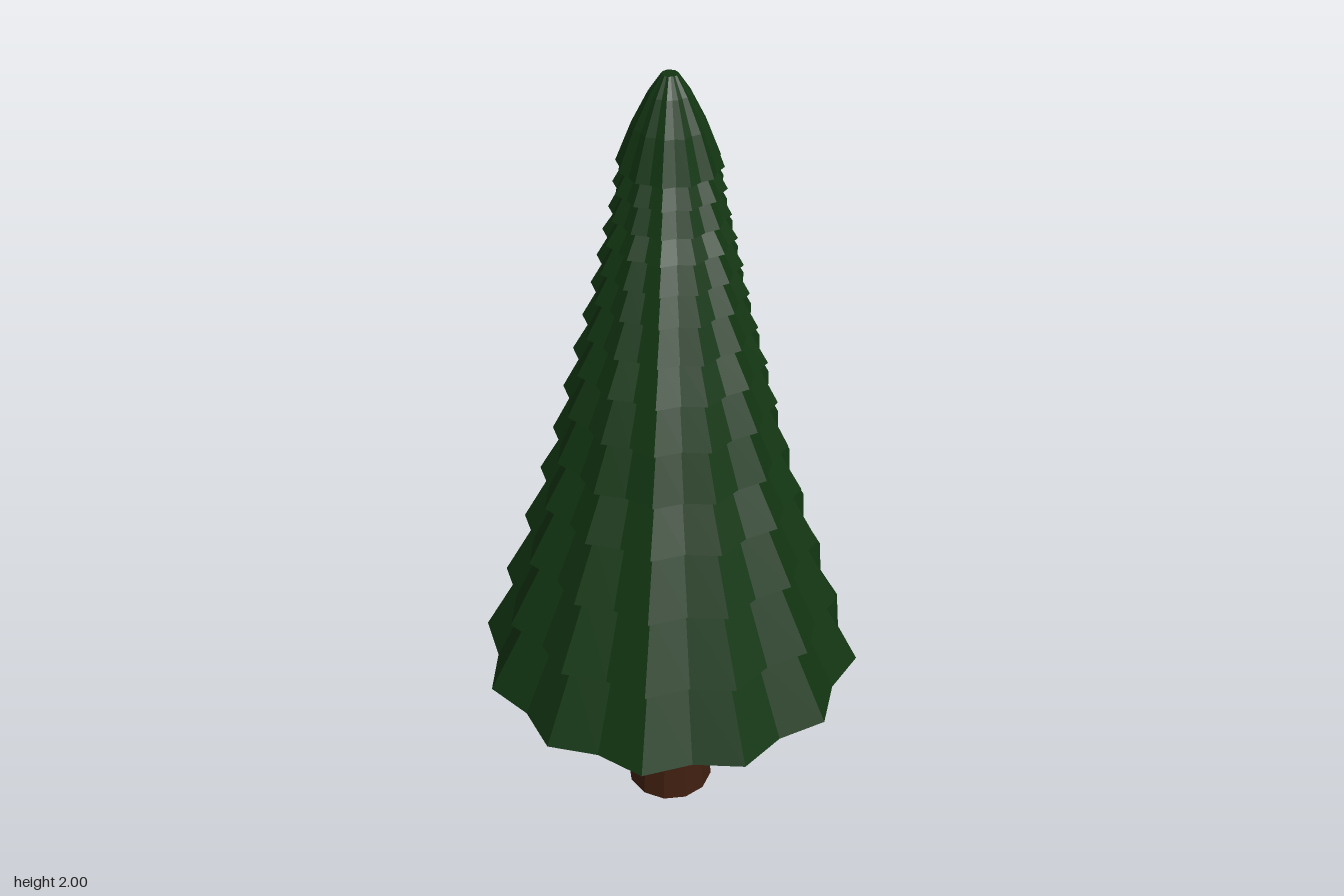
import * as THREE from 'three';

const leafMaterial = new THREE.MeshStandardMaterial({ color: 0x123512, flatShading: true });
const barkMaterial = new THREE.MeshStandardMaterial({ color: 0x3f1f10, flatShading: true });

const POINTS = 12;   // star points around each tier
const NOTCH = 0.92;  // radius of the notches between the points

// Closed star-shaped solid from a [radius, height] profile, bottom to top
function starTier(profile) {
  const first = profile[0], last = profile[profile.length - 1];
  const outline = [[0, first[1]], ...profile, [0, last[1]]];
  const geometry = new THREE.LatheGeometry(
    outline.map(([r, y]) => new THREE.Vector2(r, y)), POINTS * 2);
  const pos = geometry.attributes.position;
  for (let i = 0; i < pos.count; i++) {
    const column = Math.floor(i / outline.length);
    if (column % 2) {
      pos.setX(i, pos.getX(i) * NOTCH);
      pos.setZ(i, pos.getZ(i) * NOTCH);
    }
  }
  const flat = geometry.toNonIndexed();
  flat.computeVertexNormals();
  return flat;
}

export function createModel() {
  const tree = new THREE.Group();
  tree.name = 'coniferTree';

  // Tapered trunk, reaching slightly into the lowest tier
  const trunk = new THREE.Mesh(new THREE.CylinderGeometry(0.083, 0.11, 0.5, 12), barkMaterial);
  trunk.name = 'trunk';
  trunk.position.y = 0.25;
  tree.add(trunk);

  // Lower rim of every tier: [radius, height]
  const rims = [
    [0.47, 0.465], [0.41, 0.655], [0.355, 0.83], [0.31, 0.98], [0.275, 1.1],
    [0.246, 1.22], [0.22, 1.325], [0.196, 1.415], [0.175, 1.5], [0.16, 1.57],
    [0.146, 1.635], [0.132, 1.69], [0.122, 1.75], [0.115, 1.8],
  ];
  const foliage = new THREE.Group();
  foliage.name = 'foliage';
  rims.forEach((rim, i) => {
    const next = rims[i + 1];
    // Each tier narrows to tuck under the next; the crown rounds off to a small flat tip
    const upper = next
      ? [[next[0] - 0.02 - 0.07 * (next[0] - 0.1), next[1] + 0.002]]
      : [[0.08, 1.89], [0.045, 1.96], [0.018, 2]];
    const tier = new THREE.Mesh(starTier([rim, ...upper]), leafMaterial);
    tier.name = next ? `branchTier${i + 1}` : 'crown';
    foliage.add(tier);
  });
  tree.add(foliage);

  return tree;
}
